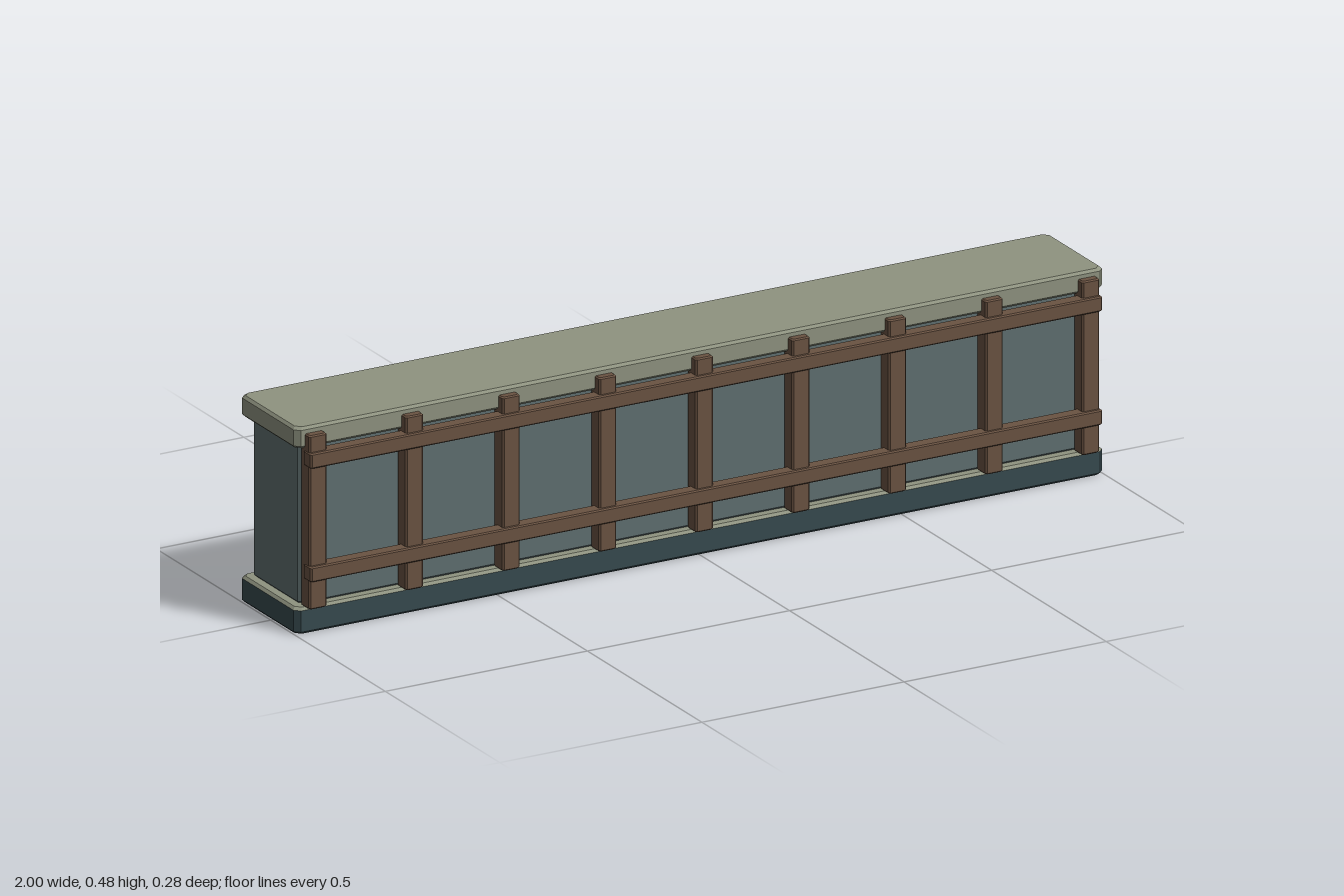
import * as THREE from 'three';
import { ConvexGeometry } from 'three/addons/geometries/ConvexGeometry.js';

const mat = (color) => new THREE.MeshStandardMaterial({ color, flatShading: true });
const stone = mat(0x8f9380), wall = mat(0x5f6f70), footing = mat(0x374a4f), timber = mat(0x6a5342);

// Block with cut vertical corners; levels are [y, inset] outlines from bottom to top.
function block(name, material, [x0, x1], [z0, z1], cut, levels) {
  const points = [];
  const cx = (x0 + x1) / 2, cz = (z0 + z1) / 2;
  for (const [y, inset] of levels) {
    const hx = (x1 - x0) / 2 - inset, hz = (z1 - z0) / 2 - inset;
    for (const sx of [-1, 1]) for (const sz of [-1, 1]) {
      points.push(new THREE.Vector3(cx + sx * hx, y, cz + sz * (hz - cut)));
      points.push(new THREE.Vector3(cx + sx * (hx - cut), y, cz + sz * hz));
    }
  }
  const mesh = new THREE.Mesh(new ConvexGeometry(points), material);
  mesh.name = name;
  return mesh;
}

// Outlines of a block bevelled at both ends.
const bevelled = (y0, y1, b) => [[y0, b], [y0 + b, 0], [y1 - b, 0], [y1, b]];

export function createModel() {
  const model = new THREE.Group();
  model.name = 'lowWall';
  const slabX = [-1, 1], slabZ = [-0.138, 0.111];

  // Dark footing with a pale sloped ledge on top
  model.add(block('footing', footing, slabX, slabZ, 0.012, [[0, 0.006], [0.006, 0], [0.055, 0]]));
  model.add(block('footingLedge', stone, slabX, slabZ, 0.012, [[0.055, 0], [0.061, 0.006]]));

  // Wall core and cap slab
  model.add(block('wallCore', wall, [-0.98, 0.98], [-0.118, 0.091], 0.01, bevelled(0.06, 0.428, 0.006)));
  model.add(block('capSlab', stone, slabX, slabZ, 0.012, bevelled(0.427, 0.476, 0.006)));

  // Timber lattice: nine posts crossed by two rails
  const lattice = new THREE.Group();
  lattice.name = 'timberLattice';
  for (let i = -4; i <= 4; i++) {
    const x = i * 0.239;
    lattice.add(block('post', timber, [x - 0.022, x + 0.022], [0.091, 0.13], 0.004, bevelled(0.061, 0.461, 0.003)));
  }
  for (const [name, y0, y1] of [['lowerRail', 0.127, 0.162], ['upperRail', 0.388, 0.423]]) {
    lattice.add(block(name, timber, [-0.98, 0.98], [0.105, 0.139], 0.004, bevelled(y0, y1, 0.003)));
  }
  model.add(lattice);
  return model;
}
